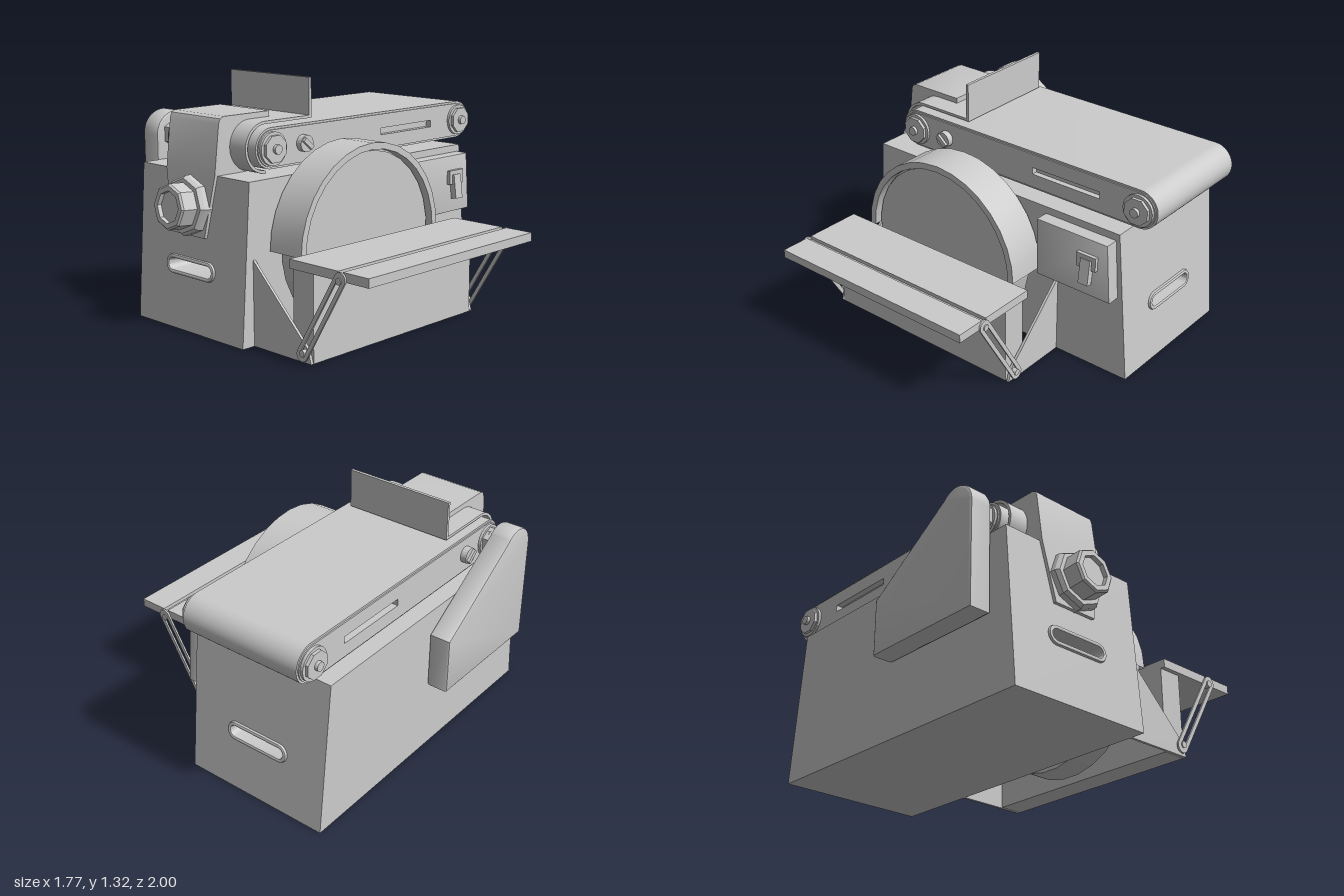
import * as THREE from 'three';
import { toCreasedNormals } from 'three/addons/utils/BufferGeometryUtils.js';

const smooth = new THREE.MeshStandardMaterial({ color: 0xcccccc, side: THREE.DoubleSide });
const flat = new THREE.MeshStandardMaterial({ color: 0xcccccc, flatShading: true });

export function createModel() {
  const model = new THREE.Group();
  const add = (name, geo, mat = smooth) => {
    const m = new THREE.Mesh(geo, mat);
    m.name = name;
    model.add(m);
    return m;
  };
  // box given by its limits
  const box = (name, x0, x1, y0, y1, z0, z1) => add(name,
    new THREE.BoxGeometry(x1 - x0, y1 - y0, z1 - z0)
      .translate((x0 + x1) / 2, (y0 + y1) / 2, (z0 + z1) / 2), flat);
  // cylinder along x
  const rod = (name, x0, x1, y, z, r, sides, mat = flat) => add(name,
    new THREE.CylinderGeometry(r, r, x1 - x0, sides).rotateZ(-Math.PI / 2)
      .rotateX(Math.PI / sides).translate((x0 + x1) / 2, y, z), mat);
  // racetrack outline between two points
  const stadium = (ax, ay, bx, by, r, Type = THREE.Shape) => {
    const a = Math.atan2(by - ay, bx - ax), s = new Type();
    s.absarc(bx, by, r, a - Math.PI / 2, a + Math.PI / 2, false);
    s.absarc(ax, ay, r, a + Math.PI / 2, a + Math.PI * 1.5, false);
    s.closePath();
    return s;
  };
  const polygon = pts => new THREE.Shape(pts.map(p => new THREE.Vector2(...p)));
  const extrude = (shape, depth, bevel = 0) => toCreasedNormals(new THREE.ExtrudeGeometry(shape, {
    depth: depth - 2 * bevel, curveSegments: 14, bevelEnabled: bevel > 0,
    bevelSize: bevel, bevelOffset: -bevel, bevelThickness: bevel, bevelSegments: 2,
  }).translate(0, 0, bevel), 0.6);
  // side profile drawn in (-z, y), extruded from x0 to x1
  const side = (name, shape, x0, x1, bevel = 0) =>
    add(name, extrude(shape, x1 - x0, bevel).rotateY(Math.PI / 2).translate(x0, 0, 0));

  // base: tapering body with a hand slot running through it
  const body = new THREE.Shape();
  body.moveTo(-0.76, 0).lineTo(0.09, 0).lineTo(0.09, 0.85).lineTo(-0.76, 0.85).closePath();
  body.holes.push(stadium(-0.475, 0.345, -0.195, 0.345, 0.03, THREE.Path));
  const baseGeo = new THREE.ExtrudeGeometry(body, { depth: 1, bevelEnabled: false, curveSegments: 10 });
  const p = baseGeo.attributes.position;
  for (let i = 0; i < p.count; i++) {
    const t = p.getY(i) / 0.85;
    p.setZ(i, p.getZ(i) > 0.5 ? 0.88 - 0.06 * t : -0.91 + 0.08 * t);
  }
  add('base', toCreasedNormals(baseGeo, 0.6));

  // raised rims around the hand slots
  for (const [z, tilt] of [[0.855, -0.07], [-0.877, 0.09]]) {
    const rim = stadium(-0.14, 0, 0.14, 0, 0.052);
    rim.holes.push(stadium(-0.14, 0, 0.14, 0, 0.03, THREE.Path));
    const m = add('handSlotRim', extrude(rim, 0.03, 0.008).translate(0, 0, -0.015));
    m.position.set(-0.335, 0.345, z);
    m.rotation.x = tilt;
  }

  // sanding belt loop
  const Y = 0.985, ZF = 0.6, ZB = -0.89;
  const belt = stadium(-ZF, Y, -ZB, Y, 0.107);
  belt.holes.push(stadium(-ZF, Y, -ZB, Y, 0.095, THREE.Path));
  side('sandingBelt', belt, -0.69, 0.015);
  side('beltCore', stadium(-ZF, Y, -ZB, Y, 0.088), -0.66, -0.01);

  // frame plates, roller hubs, adjusting screws on both sides
  const mid = -0.3375;
  for (const s of [-1, 1]) {
    const span = (a, b) => [Math.min(mid + s * a, mid + s * b), Math.max(mid + s * a, mid + s * b)];
    const plate = stadium(-ZF, Y, -ZB, Y, 0.096);
    plate.holes.push(polygon([[0.22, 0.965], [0.65, 0.965], [0.65, 1.003], [0.22, 1.003]]));
    side('beltFramePlate', plate, ...span(0.325, 0.36));
    for (const z of [ZF, ZB]) {
      rod('rollerHub', ...span(0.3, 0.375), Y, z, 0.088, 28, flat);
      rod('rollerNut', ...span(0.3, 0.392), Y, z, 0.075, 8);
      rod('rollerPin', ...span(0.3, 0.41), Y, z, 0.025, 16);
    }
    rod('adjustingScrew', ...span(0.3, 0.395), 0.99, 0.385, 0.045, 20);
    const tab = box('screwSlot', ...span(0.39, 0.41), -0.012, 0.012, -0.038, 0.038);
    tab.position.set(0, 0.99, 0.385);
    tab.rotation.x = -0.7;
  }
  rod('driveShaft', -0.79, -0.7, Y, ZF, 0.08, 6);

  // guard wrapping the front roller, ending in an upright work stop
  const guard = new THREE.Shape();
  guard.moveTo(-0.27, 1.12).lineTo(-ZF, 1.12);
  guard.absarc(-ZF, Y, 0.135, Math.PI / 2, Math.PI * 1.5, false);
  guard.lineTo(-ZF, 0.865);
  guard.absarc(-ZF, Y, 0.12, Math.PI * 1.5, Math.PI / 2, true);
  guard.lineTo(-0.27, 1.105).closePath();
  side('rollerGuard', guard, -0.65, -0.03);
  box('workStop', -0.65, -0.03, 1.105, 1.32, 0.268, 0.285);

  // front bracket: curved seat for the guard, tapering tongue below
  const br = new THREE.Shape();
  br.moveTo(-0.46, 1.12).lineTo(-0.46, 1.15).lineTo(-0.77, 1.15).lineTo(-0.795, 1.14).lineTo(-0.805, 1.115);
  br.lineTo(-0.838, 0.85).lineTo(-0.862, 0.52).lineTo(-0.8, 0.52).lineTo(-0.8, 0.85).lineTo(-ZF, 0.85);
  br.absarc(-ZF, Y, 0.135, Math.PI * 1.5, Math.PI / 2, true);
  br.closePath();
  const brGeo = new THREE.ExtrudeGeometry(br, { depth: 0.39, bevelEnabled: false, curveSegments: 16 })
    .rotateY(Math.PI / 2).translate(-0.195, 0, 0);
  const bp = brGeo.attributes.position;
  for (let i = 0; i < bp.count; i++) if (bp.getY(i) < 0.7) bp.setX(i, bp.getX(i) * 0.67);
  add('frontBracket', toCreasedNormals(brGeo.translate(-0.345, 0, 0), 0.5));

  // octagonal clamp knob with a hollow end
  const knob = new THREE.LatheGeometry(
    [[0, 0], [0.16, 0], [0.16, 0.05], [0.145, 0.07], [0.122, 0.07], [0.122, 0.155],
      [0.112, 0.165], [0.085, 0.165], [0.085, 0.14], [0, 0.14]].map(a => new THREE.Vector2(...a)), 8);
  const knobMesh = add('clampKnob', knob.rotateX(Math.PI / 2),
    new THREE.MeshStandardMaterial({ color: 0xcccccc, flatShading: true, side: THREE.DoubleSide }));
  knobMesh.position.set(-0.34, 0.675, 0.83);
  knobMesh.rotation.x = -0.08;

  // drive cover on the outer side
  const cover = new THREE.Shape();
  cover.moveTo(-0.72, 0.41).lineTo(0.02, 0.41).lineTo(0.02, 0.72).lineTo(-0.51, 1.075);
  cover.absarc(-0.595, 0.985, 0.125, 0.85, Math.PI, false);
  cover.closePath();
  side('driveCover', cover, -0.89, -0.765, 0.015);

  // disc hood: half shell with a conical back, and the disc inside it
  const hood = new THREE.LatheGeometry(
    [[0.37, 0.02], [0.52, 0.105], [0.52, 0.33], [0.485, 0.33], [0.485, 0.27], [0.3, 0.27]]
      .map(a => new THREE.Vector2(...a)), 16, Math.PI, Math.PI).rotateZ(-Math.PI / 2);
  add('discHood', toCreasedNormals(hood, 0.5)).position.set(0, 0.48, 0.18);
  rod('sandingDisc', 0.14, 0.295, 0.48, 0.18, 0.475, 28);
  rod('discShaft', 0.05, 0.16, 0.48, 0.18, 0.12, 20);

  // work table with a mitre groove, on an upright support
  box('tableInner', 0.36, 0.69, 0.46, 0.507, -0.46, 0.81);
  box('tableOuter', 0.72, 0.885, 0.46, 0.507, -0.46, 0.81);
  box('tableGroove', 0.69, 0.72, 0.46, 0.487, -0.46, 0.81);
  box('tableSupport', 0.36, 0.5, 0, 0.46, -0.43, 0.785);

  // gussets and slotted struts at both table ends
  for (const s of [-1, 1]) {
    const z = 0.175 + s * 0.62;
    const gusset = polygon([[0.08, 0], [0.5, 0], [0.48, 0.07], [0.09, 0.45], [0.08, 0.45]]);
    add('gusset', extrude(gusset, 0.015)).position.z = z - 0.0075;
    const strut = stadium(0.455, 0.045, 0.71, 0.47, 0.036);
    strut.holes.push(stadium(0.465, 0.062, 0.7, 0.453, 0.014, THREE.Path));
    add('strut', extrude(strut, 0.01)).position.z = 0.175 + s * 0.642 - 0.005;
    for (const [x, y] of [[0.46, 0.053], [0.705, 0.462]]) {
      const bolt = add('strutBolt', new THREE.CylinderGeometry(0.018, 0.018, 0.03, 12).rotateX(Math.PI / 2), flat);
      bolt.position.set(x, y, 0.175 + s * 0.638);
    }
  }

  // switch box with framed toggle
  side('switchBox', polygon([[0.365, 0.48], [0.835, 0.48], [0.81, 0.81], [0.365, 0.81]]), 0.08, 0.165, 0.006);
  const frame = polygon([[0.635, 0.645], [0.755, 0.645], [0.755, 0.725], [0.635, 0.725]]);
  frame.holes.push(polygon([[0.66, 0.645], [0.73, 0.645], [0.73, 0.7], [0.66, 0.7]]));
  side('switchFrame', frame, 0.16, 0.185);
  const toggle = box('switchToggle', -0.015, 0.02, -0.07, 0.07, -0.03, 0.03);
  toggle.position.set(0.18, 0.63, -0.695);
  toggle.rotation.z = 0.12;

  return model;
}
